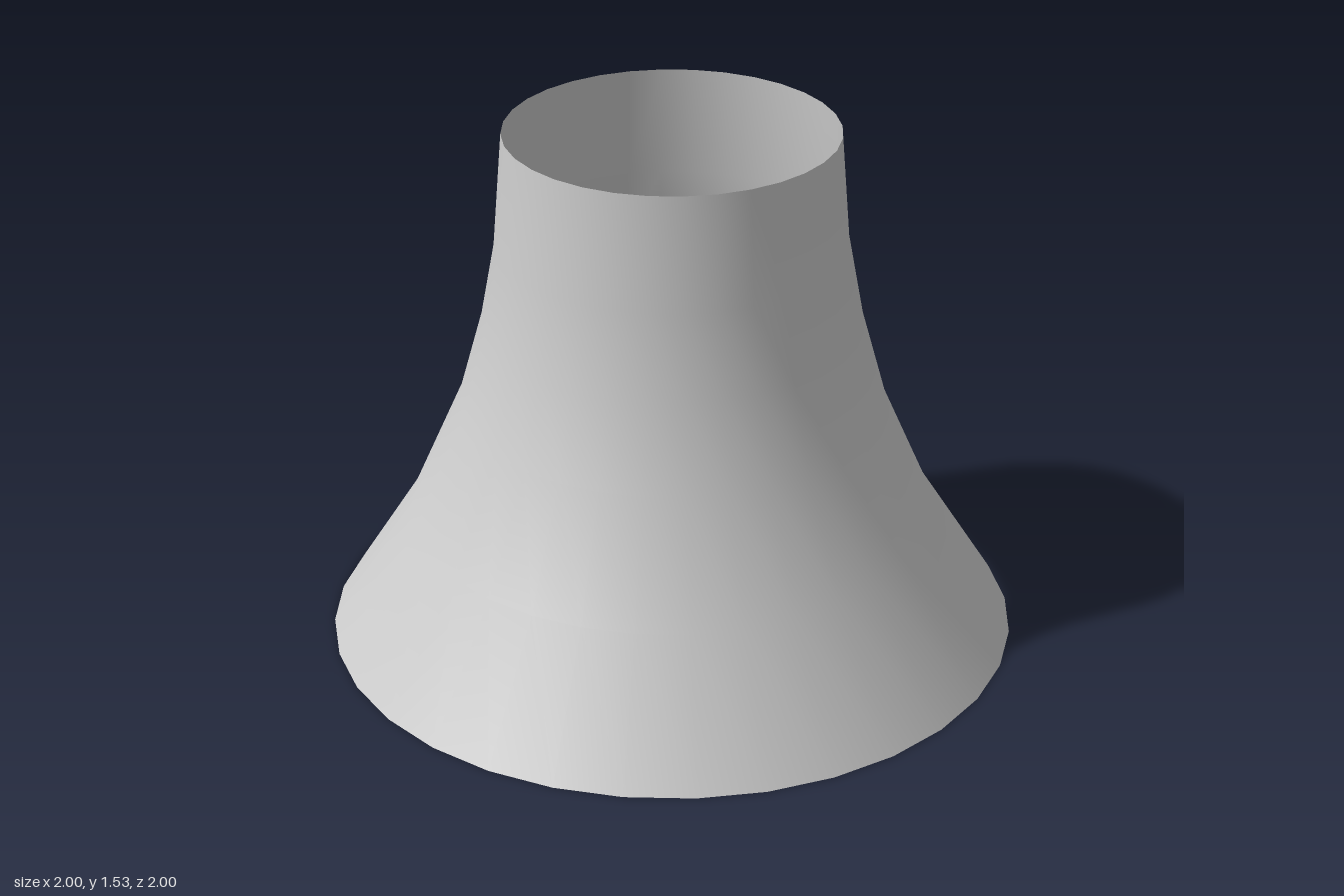
import * as THREE from 'three';

export function createModel() {
  const group = new THREE.Group();
  group.name = 'flaredTower';

  // Open shell: radius and height pairs from the wide base to the narrow rim
  const profile = [
    [1, 0], [0.765, 0.37], [0.615, 0.71], [0.545, 0.96], [0.5, 1.2], [0.473, 1.53],
  ].map(([r, y]) => new THREE.Vector2(r, y));

  const shell = new THREE.Mesh(
    new THREE.LatheGeometry(profile, 32),
    new THREE.MeshStandardMaterial({ color: 0xcccccc, side: THREE.DoubleSide }),
  );
  shell.name = 'towerShell';
  group.add(shell);

  return group;
}
